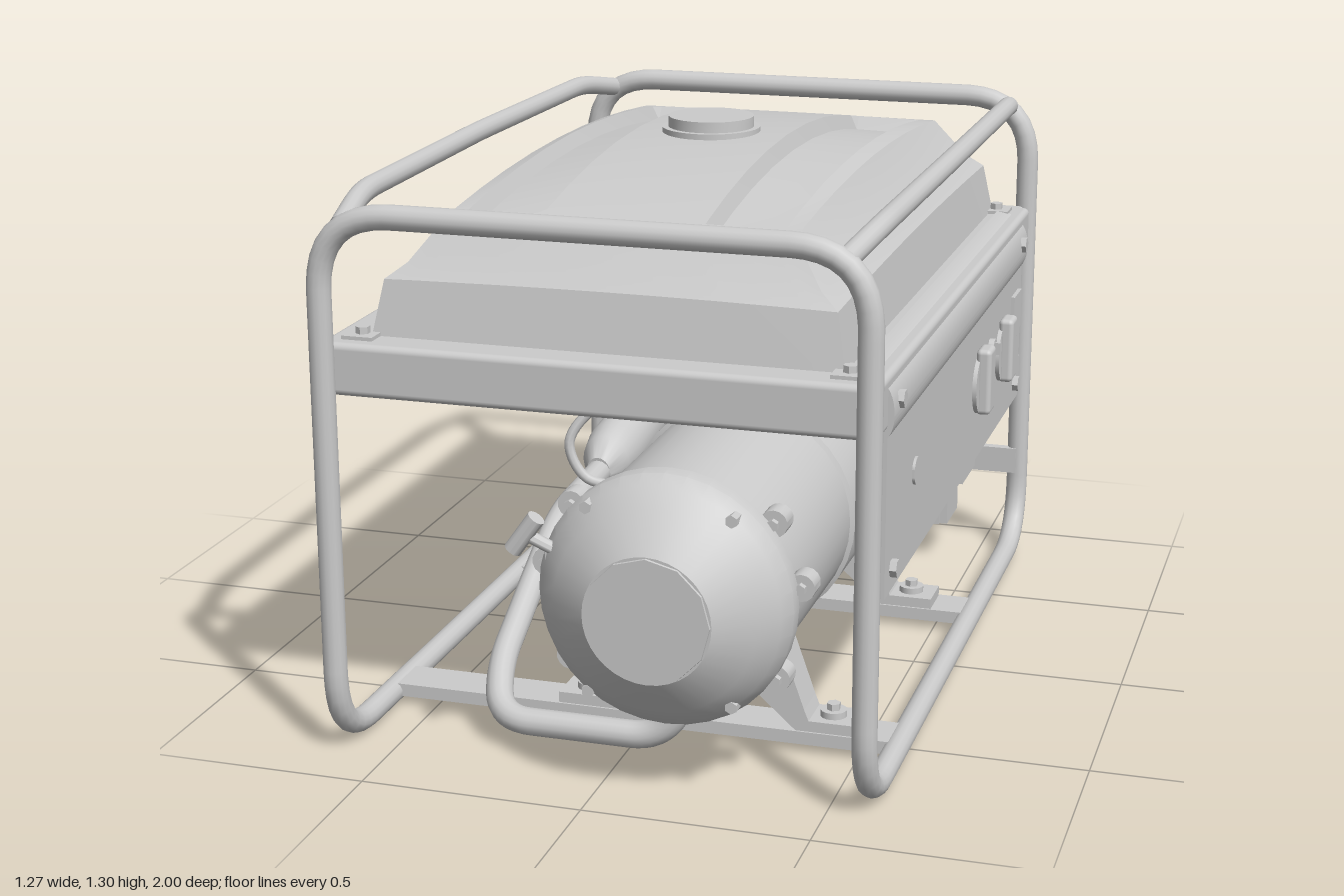
import * as THREE from 'three';
import { toCreasedNormals } from 'three/addons/utils/BufferGeometryUtils.js';
import { RoundedBoxGeometry } from 'three/addons/geometries/RoundedBoxGeometry.js';

const V = (a) => new THREE.Vector3(...a);

export function createModel() {
  const root = new THREE.Group();
  const mat = new THREE.MeshStandardMaterial({ color: 0xcccccc, side: THREE.DoubleSide });

  const add = (name, geo, x = 0, y = 0, z = 0) => {
    const m = new THREE.Mesh(geo, mat);
    m.name = name;
    m.position.set(x, y, z);
    root.add(m);
    return m;
  };
  // box given by its min and max on each axis, with optional rounded edges
  const box = (name, x0, x1, y0, y1, z0, z1, r = 0) => {
    const size = [x1 - x0, y1 - y0, z1 - z0];
    const geo = r ? new RoundedBoxGeometry(...size, 3, r) : new THREE.BoxGeometry(...size);
    return add(name, geo, (x0 + x1) / 2, (y0 + y1) / 2, (z0 + z1) / 2);
  };
  // cylinder between two points
  const rod = (name, a, b, r, sides = 20) => {
    const p = V(a), d = V(b).sub(p);
    const m = add(name, toCreasedNormals(new THREE.CylinderGeometry(r, r, d.length(), sides), 0.7));
    m.position.copy(p).addScaledVector(d, 0.5);
    m.quaternion.setFromUnitVectors(new THREE.Vector3(0, 1, 0), d.normalize());
    return m;
  };
  // straight runs joined by rounded bends
  const bentPipe = (name, pts, r, bend, closed = false, segs = 90) => {
    const p = pts.map(V), n = p.length, path = new THREE.CurvePath();
    let last = p[0];
    const end = closed ? n : n - 1;
    for (let i = 1; i < end; i++) {
      const prev = p[i - 1], c = p[i], next = p[(i + 1) % n];
      const b = Math.min(bend, c.distanceTo(prev) * 0.49, c.distanceTo(next) * 0.49);
      const s = c.clone().lerp(prev, b / c.distanceTo(prev));
      const e = c.clone().lerp(next, b / c.distanceTo(next));
      path.add(new THREE.LineCurve3(last, s));
      path.add(new THREE.QuadraticBezierCurve3(s, c, e));
      last = e;
    }
    path.add(new THREE.LineCurve3(last, closed ? p[0] : p[n - 1]));
    return add(name, new THREE.TubeGeometry(path, segs, r, 14, closed));
  };
  const cable = (name, pts, r = 0.01) =>
    add(name, new THREE.TubeGeometry(new THREE.CatmullRomCurve3(pts.map(V)), 40, r, 8));

  // Tubular frame: two hoops joined by the bottom rails in one closed loop
  const CX = -0.012, XR = 0.583, XL = -0.608, ZF = 0.88, ZB = -0.915, T = 1.225, B = 0.028;
  bentPipe('frameLoop', [[0, T, ZF], [XR, T, ZF], [XR, B, ZF], [XR, B, ZB], [XR, T, ZB],
    [XL, T, ZB], [XL, B, ZB], [XL, B, ZF], [XL, T, ZF]], 0.027, 0.17, true, 320);
  for (const s of [-1, 1]) {
    bentPipe('topRail', [[0.54, 1.2, ZF], [0.572, 1.235, 0.7], [0.578, 1.24, 0], [0.572, 1.235, -0.73], [0.54, 1.2, ZB]]
      .map(([x, y, z]) => [CX + s * x, y, z]), 0.024, 0.07);
    // tank side rail
    box('tankSideRail', CX + s * 0.555 - 0.055, CX + s * 0.555 + 0.055, 0.825, 0.942, -0.885, 0.86, 0.015);
    for (const z of [-0.81, 0.8]) {
      const x = CX + s * 0.535;
      box('tankTab', x - 0.035, x + 0.035, 0.94, 0.95, z - 0.035, z + 0.035);
      rod('tankBolt', [x, 0.945, z], [x, 0.965, z], 0.016, 6);
    }
  }
  box('frontCrossbar', XL, XR, 0.825, 0.942, 0.765, 0.87, 0.015);
  box('rearCrossbar', XL, XR, 0.825, 0.942, -0.905, -0.8, 0.015);
  box('rearLowerBar', XL, XR, 0.208, 0.276, -0.91, -0.885);
  for (const z of [0.53, -0.28]) box('bottomCrossbar', XL, XR, 0.02, 0.05, z - 0.055, z + 0.055);

  // Fuel tank: arched top grid with two sunken channels, then rings down the sides
  const xs = [-0.385, -0.352, -0.335, -0.195, -0.18, -0.08, 0, 0.08, 0.18, 0.195, 0.335, 0.352, 0.385];
  const zs = [-0.695, -0.66, -0.635, -0.5, -0.35, -0.18, 0, 0.18, 0.35, 0.5, 0.635, 0.66, 0.695];
  const top = (x, z) => 1.19 + 0.08 * (1 - (z / 0.695) ** 2) * (1 - 0.5 * (x / 0.385) ** 4);
  const inChannel = (x, z) => Math.abs(x) > 0.19 && Math.abs(x) < 0.34 && Math.abs(z) < 0.64;
  const pos = [], idx = [], nx = xs.length, nz = zs.length, cz = -0.022;
  for (const x of xs) for (const z of zs) pos.push(x, top(x, z) - (inChannel(x, z) ? 0.035 : 0), z + cz);
  for (let i = 0; i < nx - 1; i++) for (let j = 0; j < nz - 1; j++) {
    const a = i * nz + j, c = a + nz;
    idx.push(a, a + 1, c, a + 1, c + 1, c);
  }
  const rim = [];
  for (let i = 0; i < nx - 1; i++) rim.push([i, 0]);
  for (let j = 0; j < nz - 1; j++) rim.push([nx - 1, j]);
  for (let i = nx - 1; i > 0; i--) rim.push([i, nz - 1]);
  for (let j = nz - 1; j > 0; j--) rim.push([0, j]);
  let inner = rim.map(([i, j]) => i * nz + j);
  // half width, half length, height, share of the arch kept
  for (const [hx, hz, y, k] of [[0.455, 0.755, 1.095, 0.5], [0.498, 0.785, 1.062, 0.3], [0.52, 0.81, 0.94, 0]]) {
    const outer = rim.map(([i, j]) => {
      const bulge = 0.02 * (1 - (xs[i] / 0.385) ** 2);
      pos.push(xs[i] / 0.385 * hx, y + k * (top(xs[i], zs[j]) - 1.19 + bulge), zs[j] / 0.695 * hz + cz);
      return pos.length / 3 - 1;
    });
    outer.forEach((q, n) => {
      const m = (n + 1) % outer.length;
      idx.push(inner[n], inner[m], q, inner[m], outer[m], q);
    });
    inner = outer;
  }
  const tank = new THREE.BufferGeometry();
  tank.setAttribute('position', new THREE.Float32BufferAttribute(pos, 3));
  tank.setIndex(idx);
  add('fuelTank', toCreasedNormals(tank, 0.4), CX);
  box('tankFloor', -0.53, 0.5, 0.9, 0.942, -0.82, 0.78);
  rod('fillerNeck', [-0.015, 1.24, -0.02], [-0.015, 1.28, -0.02], 0.115, 32);
  rod('fillerCap', [-0.015, 1.27, -0.02], [-0.015, 1.305, -0.02], 0.1, 32);

  // Engine and alternator body along z
  const EX = 0.147, EY = 0.44;
  const lathe = (name, pts, sides = 36, crease = 0.5) => add(name, toCreasedNormals(
    new THREE.LatheGeometry(pts.map((p) => new THREE.Vector2(...p)), sides).rotateX(Math.PI / 2), crease), EX, EY, 0);
  lathe('engineBody', [[0, -0.58], [0.2, -0.58], [0.24, -0.56], [0.262, -0.5], [0.268, -0.44], [0.268, 0.28],
    [0.258, 0.285], [0.258, 0.82], [0.28, 0.825], [0.28, 0.865], [0.262, 0.9], [0.222, 0.94], [0.14, 0.995], [0, 0.995]]);
  lathe('starterCap', [[0.14, 0.985], [0.137, 1.0], [0, 1.0]], 12, 0.2);
  for (const z of [-0.45, -0.12]) lathe('bodyBand', [[0.266, z], [0.274, z + 0.002], [0.274, z + 0.018], [0.266, z + 0.02]]);
  // flange ears and cover bolts
  for (const s of [-1, 1]) {
    for (const [dx, dy] of [[0.222, 0.175], [0.282, 0.04], [0.23, -0.17]]) {
      const x = EX + s * dx, y = EY + dy;
      rod('flangeEar', [x, y, 0.77], [x, y, 0.82], 0.03, 14);
      rod('flangeBolt', [x, y, 0.82], [x, y, 0.835], 0.013, 6);
    }
    for (const y of [EY - 0.205, EY + 0.205]) rod('coverBolt', [EX + s * 0.158, y, 0.87], [EX + s * 0.158, y, 0.915], 0.014, 6);
  }
  // cooling slats on the rear end
  for (let k = -4; k <= 4; k++) {
    const y = k * 0.045, w = Math.sqrt(0.205 ** 2 - y * y);
    box('coolingSlat', EX - w, EX + w, EY + y - 0.012, EY + y + 0.012, -0.592, -0.575);
  }
  rod('rearHub', [EX, EY, -0.6], [EX, EY, -0.57], 0.03, 16);
  rod('starterMotor', [0.37, 0.27, -0.33], [0.37, 0.27, -0.11], 0.034);
  for (let k = 0; k < 5; k++) box('coolingFin', 0.39, 0.43, 0.44, 0.47, -0.14 + k * 0.03, -0.125 + k * 0.03);

  // Engine feet: splayed plates with rubber mounts
  const foot = new THREE.Shape([[-0.25, 0.05], [-0.23, 0.1], [-0.17, 0.27], [0.17, 0.27], [0.23, 0.1], [0.25, 0.05],
    [0.21, 0.05], [0.12, 0.13], [-0.12, 0.13], [-0.21, 0.05]].map((p) => new THREE.Vector2(...p)));
  for (const z of [0.53, -0.28]) {
    add('engineFoot', new THREE.ExtrudeGeometry(foot, { depth: 0.1, bevelEnabled: false }), EX, 0, z - 0.05);
    for (const s of [-1, 1]) {
      const x = EX + s * 0.285;
      box('footPlate', x - 0.06, x + 0.06, 0.05, 0.075, z - 0.05, z + 0.05);
      rod('rubberMount', [x, 0.07, z], [x, 0.09, z], 0.03, 16);
      rod('mountBolt', [x, 0.09, z], [x, 0.105, z], 0.016, 6);
    }
  }

  // Pull-start handle
  rod('pullGrip', [-0.172, 0.537, 0.915], [-0.118, 0.613, 0.915], 0.02, 12);
  rod('pullStem', [-0.145, 0.575, 0.915], [-0.07, 0.525, 0.88], 0.014, 10);
  box('pullGuide', -0.11, -0.04, 0.49, 0.55, 0.83, 0.89);

  // Exhaust pipe, muffler and its stand
  bentPipe('exhaustPipe', [[0.17, 0.2, 0.73], [0.1, 0.068, 0.74], [-0.28, 0.068, 0.74], [-0.325, 0.14, 0.62],
    [-0.33, 0.36, 0.2], [-0.33, 0.38, -0.15]], 0.031, 0.1);
  const muffler = add('muffler', toCreasedNormals(new THREE.LatheGeometry(
    [[0, -0.85], [0.036, -0.85], [0.045, -0.79], [0.07, -0.68], [0.07, -0.14], [0.06, -0.08], [0.03, -0.02], [0, -0.02]]
      .map((p) => new THREE.Vector2(...p)), 24).rotateX(Math.PI / 2), 0.6), -0.33, 0.378, -0.07);
  muffler.scale.y = 1.15;
  muffler.rotation.x = 0.115;
  rod('exhaustTip', [-0.33, 0.468, -0.86], [-0.33, 0.466, -0.95], 0.03, 20);
  rod('exhaustTipCollar', [-0.33, 0.466, -0.94], [-0.33, 0.465, -1.0], 0.038, 20);
  for (const z of [-0.28, -0.2]) rod('mufflerStand', [-0.375, 0.36, z], [-0.43, 0.055, z], 0.006, 8);
  box('mufflerFoot', -0.51, -0.39, 0.05, 0.06, -0.33, -0.15);

  // Control panel with rounded upper rail
  const P = 0.598;
  box('controlPanel', 0.583, P, 0.46, 0.83, -0.785, 0.785);
  const lip = new THREE.Shape();
  lip.moveTo(0.53, 0.81);
  lip.lineTo(0.598, 0.81);
  lip.quadraticCurveTo(0.612, 0.83, 0.612, 0.86);
  lip.quadraticCurveTo(0.612, 0.945, 0.53, 0.95);
  add('panelUpperRail', toCreasedNormals(new THREE.ExtrudeGeometry(lip, { depth: 1.57, bevelEnabled: false }), 0.5), 0, 0, -0.785);
  for (const z of [0.82, -0.835]) box('panelBracket', 0.57, 0.583, 0.46, 0.54, z - 0.07, z + 0.07);
  for (const z of [0.725, -0.715]) {
    for (const y of [0.51, 0.88]) rod('panelBolt', [P, y, z], [y > 0.7 ? 0.622 : 0.613, y, z], 0.02, 6);
  }
  for (const z of [-0.21, -0.505]) {
    rod('outletDisc', [P, 0.65, z], [0.608, 0.65, z], 0.072, 32);
    box('outletGrip', P, 0.635, 0.58, 0.742, z - 0.034, z + 0.034, 0.012);
    box('outletBack', 0.535, 0.59, 0.57, 0.755, z - 0.07, z + 0.07);
  }
  rod('keySwitch', [P, 0.7, -0.355], [0.612, 0.7, -0.355], 0.024, 16);
  box('keyBlade', 0.61, 0.625, 0.685, 0.715, -0.36, -0.35);
  box('meter', P, 0.608, 0.66, 0.758, -0.74, -0.64);
  for (const y of [0.565, 0.615]) rod('indicatorLamp', [P, y, -0.69], [0.608, y, -0.69], 0.012, 12);
  rod('panelPlug', [P, 0.655, 0.505], [0.604, 0.655, 0.505], 0.031, 20);

  // Battery: narrow case under a wider top, with terminals
  box('batteryCase', 0.225, 0.43, 0.1, 0.25, -0.87, -0.73);
  for (let k = 0; k < 3; k++) box('batteryRib', 0.24 + k * 0.065, 0.28 + k * 0.065, 0.1, 0.25, -0.88, -0.72);
  box('batteryTop', 0.195, 0.472, 0.22, 0.358, -0.885, -0.715);
  for (const x of [0.25, 0.415]) {
    rod('batteryTerminal', [x, 0.35, -0.8], [x, 0.38, -0.8], 0.026, 14);
    rod('terminalNut', [x, 0.38, -0.8], [x, 0.395, -0.8], 0.017, 6);
  }

  // Fuel valve, hose and cables
  box('fuelValve', -0.118, -0.052, 0.8, 0.83, 0.27, 0.33);
  rod('valveStem', [-0.085, 0.76, 0.3], [-0.085, 0.9, 0.3], 0.02, 12);
  cable('fuelHose', [[-0.085, 0.8, 0.3], [-0.11, 0.72, 0.3], [-0.21, 0.66, 0.32], [-0.25, 0.59, 0.34], [-0.21, 0.51, 0.34], [-0.1, 0.49, 0.32]], 0.012);
  cable('wireLoom', [[-0.1, 0.44, 0.3], [-0.16, 0.4, 0.28], [-0.17, 0.25, 0.2], [-0.18, 0.1, 0.05], [-0.3, 0.03, -0.05], [-0.4, 0.07, -0.1]], 0.014);
  cable('batteryCable', [[0.25, 0.39, -0.8], [0.1, 0.4, -0.76], [-0.05, 0.12, -0.6], [-0.18, 0.06, -0.2], [-0.2, 0.1, 0.2], [-0.15, 0.25, 0.42], [-0.1, 0.4, 0.42]]);
  cable('groundCable', [[0.415, 0.39, -0.8], [0.2, 0.41, -0.72], [0.05, 0.13, -0.63], [-0.1, 0.05, -0.2], [0, 0.06, 0.1], [0.1, 0.16, 0.4]]);
  for (const o of [0, 0.02]) {
    cable('panelWire', [[0.56, 0.57, -0.5 - o], [0.54, 0.48 - o, -0.53], [0.46, 0.43 - o, -0.6], [0.39, 0.47, -0.42]], 0.007);
  }
  return root;
}
